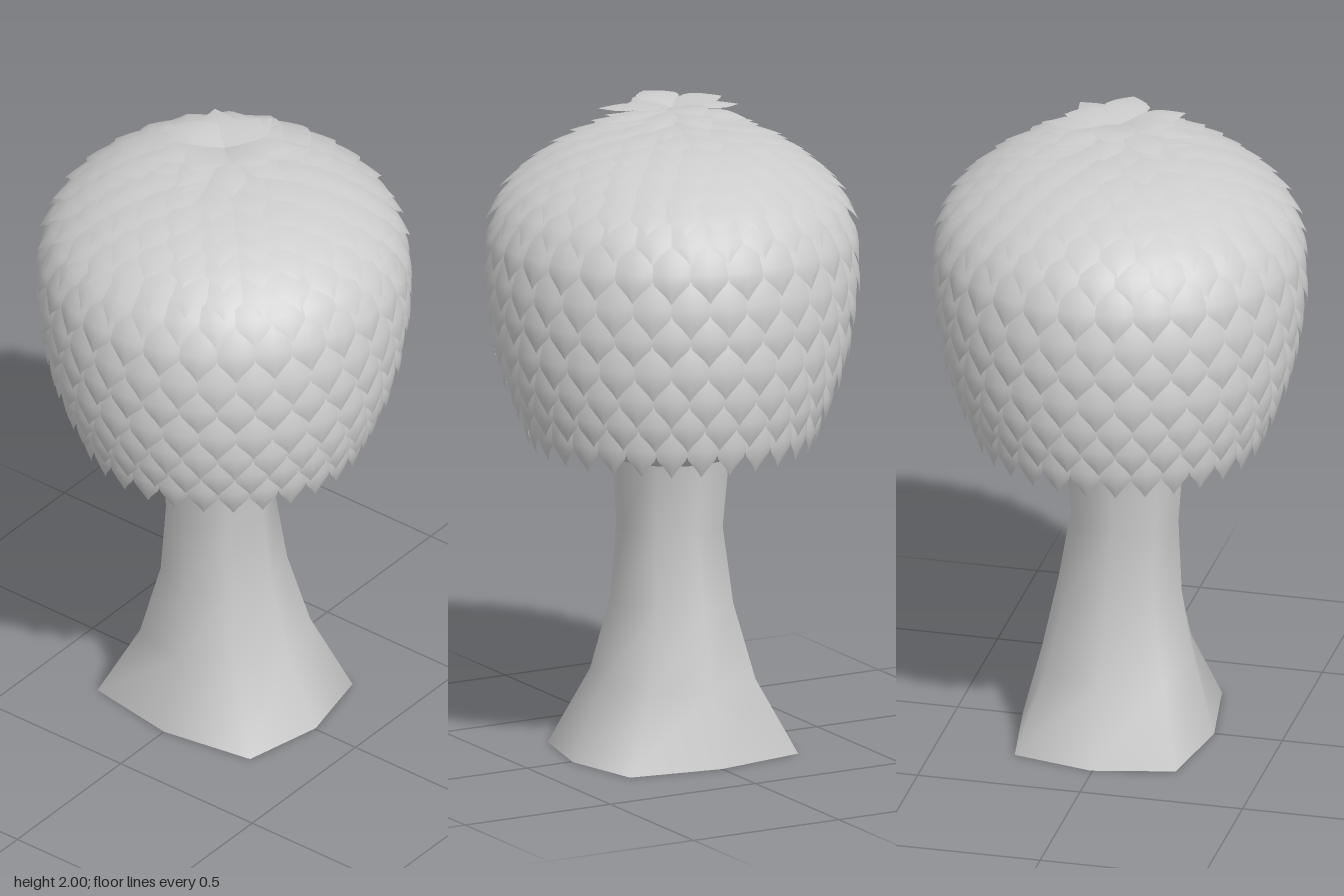
import * as THREE from 'three';
import { mergeVertices } from 'three/addons/utils/BufferGeometryUtils.js';

const material = new THREE.MeshStandardMaterial({ color: 0xcccccc, side: THREE.DoubleSide });

// Skin a grid of points: rows x cols, point(i, j) returns [x, y, z]
function gridGeometry(rows, cols, point) {
  const positions = [], indices = [];
  for (let i = 0; i < rows; i++) {
    for (let j = 0; j < cols; j++) positions.push(...point(i, j));
  }
  for (let i = 0; i < rows - 1; i++) {
    for (let j = 0; j < cols - 1; j++) {
      const a = i * cols + j, b = a + cols;
      indices.push(a, b, a + 1, b, b + 1, a + 1);
    }
  }
  const geometry = new THREE.BufferGeometry();
  geometry.setAttribute('position', new THREE.Float32BufferAttribute(positions, 3));
  geometry.setIndex(indices);
  const welded = mergeVertices(geometry, 1e-5);
  welded.computeVertexNormals();
  return welded;
}

// Scale outline: [distance from root to tip, half width]
const outline = [[0, 0.75], [0.3, 1], [0.58, 1.03], [0.72, 0.84], [0.82, 0.5], [0.91, 0.22], [1, 0.01]];

// One pointed scale, wrapped round the axis and facing +z
function scaleGeometry(root, tip, halfAngle, bulge) {
  const dr = tip[0] - root[0], dy = tip[1] - root[1];
  const len = Math.hypot(dr, dy);
  const nr = -dy / len, ny = dr / len; // outward normal in the profile plane
  return gridGeometry(outline.length, 5, (i, j) => {
    const [t, w] = outline[i];
    const u = (j - 2) / 2;
    const lift = bulge * (4 * t * (1 - t) + 0.5 * (1 - u * u) * Math.sin(Math.PI * t));
    const r = Math.max(0, root[0] + dr * t + nr * lift);
    const y = root[1] + dy * t + ny * lift;
    const a = u * w * halfAngle;
    return [r * Math.sin(a), y, r * Math.cos(a)];
  });
}

// Rows from the bottom up: [tip radius, tip y, root radius, root y, count, bulge]
const scaleRows = [
  [0.425, 0.94, 0.43, 1.14, 30, 0.015],
  [0.465, 1.03, 0.46, 1.22, 30, 0.015],
  [0.498, 1.11, 0.48, 1.31, 30, 0.015],
  [0.525, 1.2, 0.5, 1.4, 30, 0.015],
  [0.545, 1.31, 0.51, 1.5, 30, 0.015],
  [0.56, 1.4, 0.505, 1.6, 30, 0.015],
  [0.562, 1.51, 0.48, 1.69, 30, 0.018],
  [0.558, 1.63, 0.425, 1.77, 30, 0.012],
  [0.525, 1.71, 0.37, 1.815, 28, 0.008],
  [0.465, 1.775, 0.31, 1.85, 24, 0.006],
  [0.405, 1.825, 0.24, 1.88, 20, 0.006],
  [0.345, 1.866, 0.17, 1.9, 16, 0.006],
  [0.28, 1.9, 0.09, 1.918, 12, 0.006],
  [0.22, 1.93, 0, 1.93, 10, 0.006],
  [0.23, 1.957, 0, 1.965, 8, 0.008],
  [0.17, 1.99, 0, 1.975, 4, 0.008],
];

export function createModel() {
  const model = new THREE.Group();

  // Flared stem with an open, squarish foot: [y, x radius, z radius, x centre, corner reach]
  const rings = [[0.96, 0.19, 0.18, -0.01, 0.72], [0.69, 0.165, 0.16, -0.015, 0.72], [0.46, 0.19, 0.18, 0, 0.73],
    [0.23, 0.235, 0.235, 0.005, 0.77], [0, 0.295, 0.345, 0.005, 0.84]];
  const sides = 8;
  const stem = new THREE.Mesh(gridGeometry(rings.length, sides + 1, (i, j) => {
    const [y, rx, rz, cx, corner] = rings[i];
    const a = (j / sides) * Math.PI * 2;
    const reach = j % 2 ? corner * Math.SQRT2 : 1;
    return [cx + rx * reach * Math.sin(a), y, rz * reach * Math.cos(a)];
  }), material);
  stem.name = 'stem';
  model.add(stem);

  // Rounded head under the scales
  const profile = [[0, 0.91], [0.18, 0.912], [0.25, 0.935], [0.34, 1.0], [0.41, 1.1], [0.47, 1.25], [0.5, 1.4],
    [0.5, 1.56], [0.45, 1.7], [0.36, 1.8], [0.2, 1.88], [0, 1.91]];
  const head = new THREE.Mesh(
    new THREE.LatheGeometry(profile.map(([r, y]) => new THREE.Vector2(r, y)), 30), material);
  head.name = 'head';
  model.add(head);

  // Overlapping scales, every other row turned by half a step; the crown petals sit on the axes
  const scales = new THREE.Group();
  scales.name = 'scales';
  scaleRows.forEach(([tipR, tipY, rootR, rootY, count, bulge], row) => {
    const crown = count < 10;
    const halfAngle = (Math.PI / count) * (crown ? 0.9 : 1.08);
    const offset = crown ? 0 : (row % 2) / 2;
    const geometry = scaleGeometry([rootR, rootY], [tipR, tipY], halfAngle, bulge);
    const ring = new THREE.Group();
    ring.name = crown ? 'crownPetals' : `scaleRow${row + 1}`;
    for (let k = 0; k < count; k++) {
      const scale = new THREE.Mesh(geometry, material);
      scale.name = crown ? 'petal' : 'scale';
      scale.rotation.y = ((k + offset) / count) * Math.PI * 2;
      ring.add(scale);
    }
    scales.add(ring);
  });
  model.add(scales);

  return model;
}
